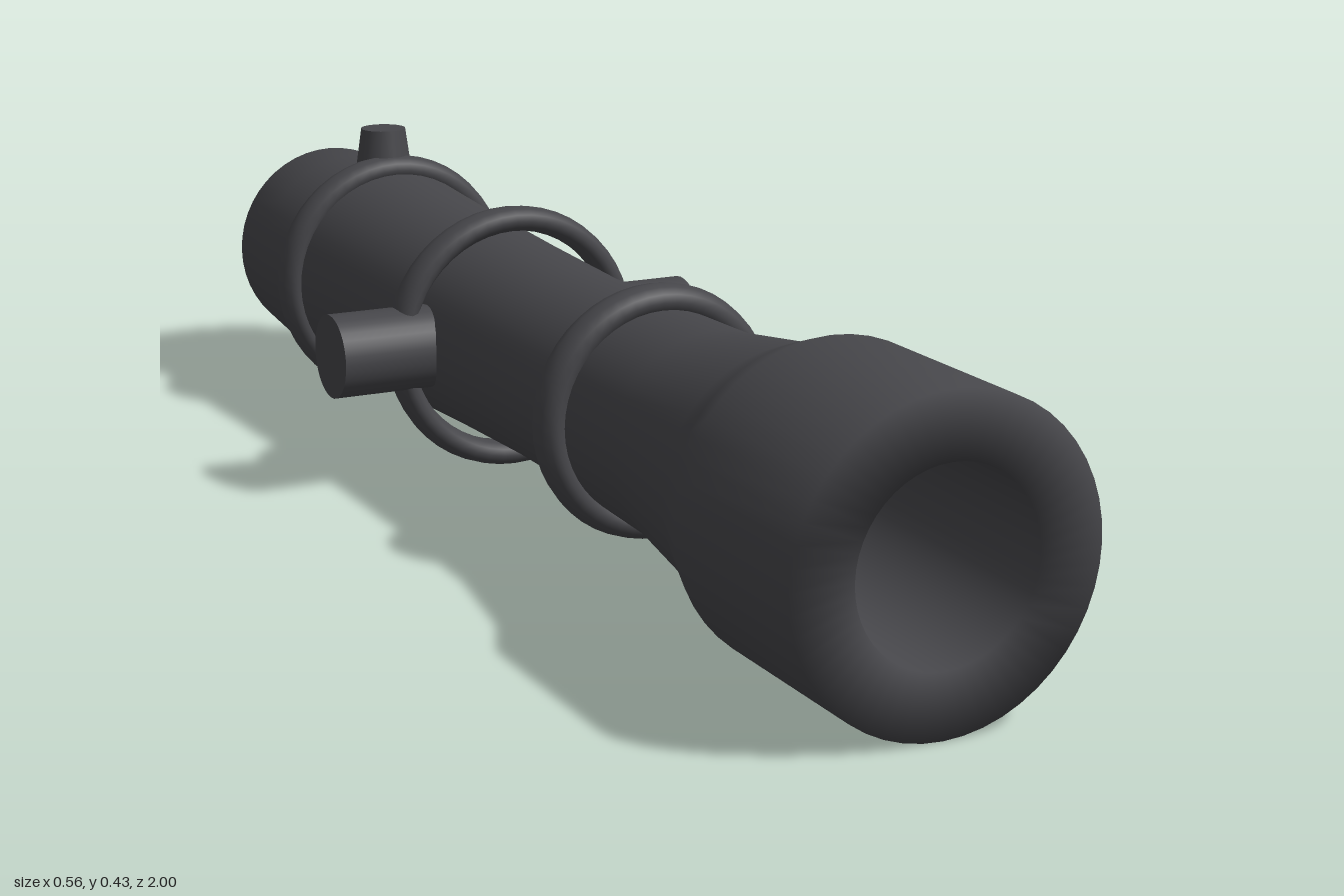
import * as THREE from 'three';

const AXIS_Y = 0.205;

export function createModel() {
  const group = new THREE.Group();
  const iron = new THREE.MeshStandardMaterial({ color: 0x46464a });
  iron.name = 'dark iron';

  const add = (name, geometry, x, y, z) => {
    const mesh = new THREE.Mesh(geometry, iron);
    mesh.name = name;
    mesh.position.set(x, y, z);
    group.add(mesh);
    return mesh;
  };

  // Barrel: one smooth profile of [radius, z] from rounded breech to muzzle, then back down the bore
  const profile = [
    [0, -1], [0.065, -0.988], [0.122, -0.95], [0.158, -0.87], [0.167, -0.75], [0.167, -0.62],
    [0.155, -0.4], [0.145, -0.15], [0.139, 0.05], [0.139, 0.2], [0.145, 0.46], [0.172, 0.65],
    [0.19, 0.7], [0.204, 0.74], [0.204, 1], [0.121, 1], [0.126, 0.55], [0, 0.5],
  ].map(([r, z]) => new THREE.Vector2(r, z));
  add('barrel', new THREE.LatheGeometry(profile, 48).rotateX(Math.PI / 2), 0, AXIS_Y, 0);

  // Reinforcing rings, slightly wider along the barrel than they are thick
  const rings = [
    ['frontRing', 0.3, 0.152, 0.021],
    ['middleRing', -0.15, 0.174, 0.018],
    ['rearRing', -0.6, 0.171, 0.02],
  ];
  for (const [name, z, radius, tube] of rings) {
    const ring = new THREE.TorusGeometry(radius, tube, 12, 48).scale(1, 1, 0.028 / tube);
    add(name, ring, 0, AXIS_Y, z);
  }

  // Trunnions on both sides
  for (const side of [-1, 1]) {
    const trunnion = new THREE.CylinderGeometry(0.06, 0.06, 0.16, 32).rotateZ(Math.PI / 2);
    add(side > 0 ? 'leftTrunnion' : 'rightTrunnion', trunnion, side * 0.2, AXIS_Y, -0.15);
  }

  // Tapered vent stud above the breech
  add('ventStud', new THREE.CylinderGeometry(0.035, 0.047, 0.085, 24), 0, 0.3925, -0.63);

  return group;
}
